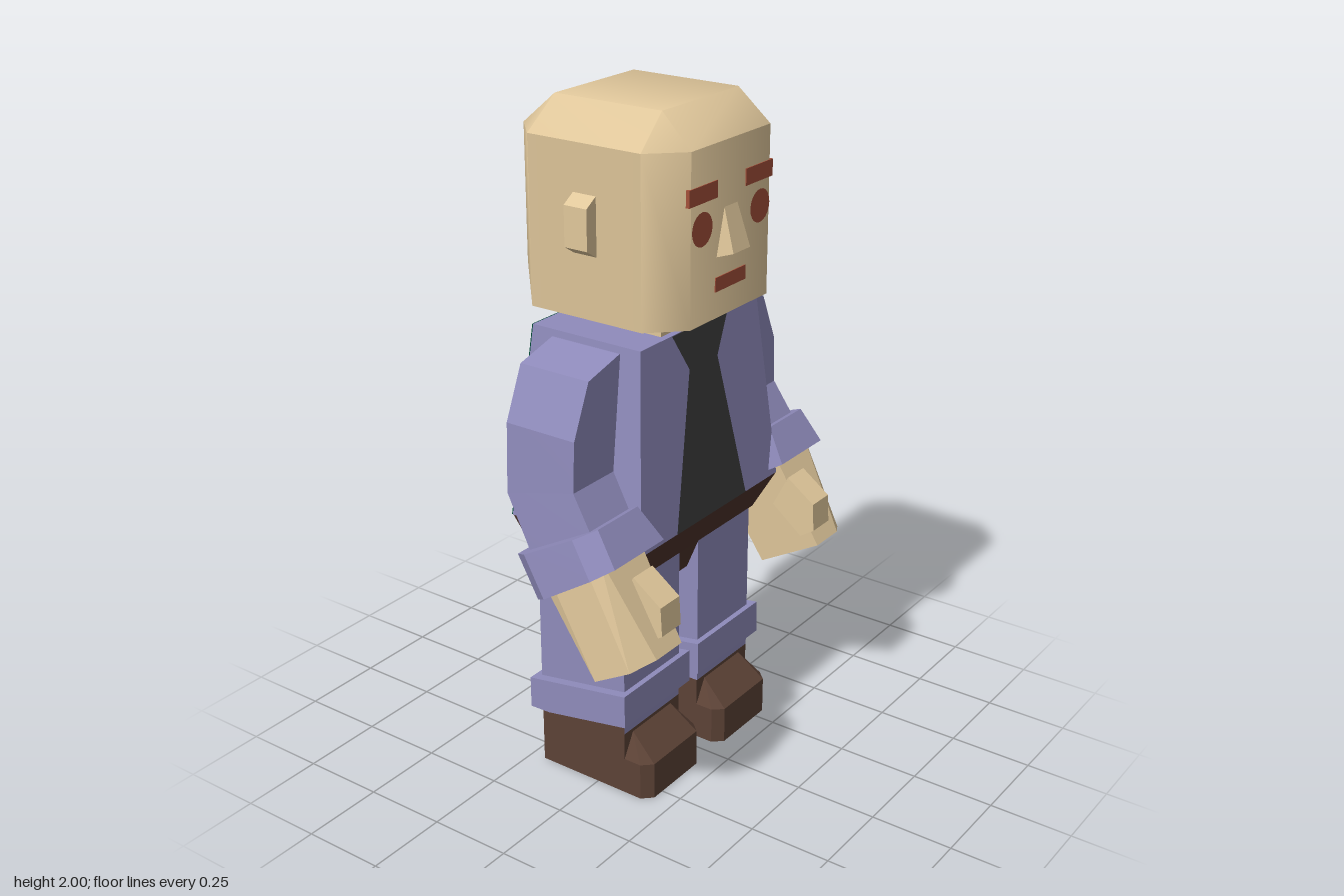
import * as THREE from 'three';
import { ConvexGeometry } from 'three/addons/geometries/ConvexGeometry.js';
import { toCreasedNormals } from 'three/addons/utils/BufferGeometryUtils.js';

const mat = (color) => new THREE.MeshStandardMaterial({ color, side: THREE.DoubleSide });

export function createModel() {
  const model = new THREE.Group();
  const skin = mat(0xe0c79b), cloth = mat(0x8f8bbb), shirtMat = mat(0x3c3c3c);
  const beltMat = mat(0x4c322a), shoeMat = mat(0x5c4236), green = mat(0x0b7d60), red = mat(0xa4503a);

  const add = (name, geometry, material) => {
    const mesh = new THREE.Mesh(geometry, material);
    mesh.name = name;
    model.add(mesh);
    return mesh;
  };
  // Faceted solid around a few corner points; s = -1 mirrors it
  const solid = (name, points, material, s = 1, crease = 0.1) => add(name, toCreasedNormals(
    new ConvexGeometry(points.map(([x, y, z]) => new THREE.Vector3(x * s, y, z))), crease), material);
  const block = (name, x0, x1, y0, y1, z0, z1, material) => {
    const g = new THREE.BoxGeometry(x1 - x0, y1 - y0, z1 - z0);
    g.translate((x0 + x1) / 2, (y0 + y1) / 2, (z0 + z1) / 2);
    return add(name, g, material);
  };
  // Side profile in [y, z] swept between two x values
  const sweep = (x0, x1, profile) => profile.flatMap(([y, z]) => [[x0, y, z], [x1, y, z]]);
  // Rectangle at height y
  const rect = (y, x, z0, z1) => [[-x, y, z0], [x, y, z0], [x, y, z1], [-x, y, z1]];
  // Flat panel laid on a sloping plane
  const panel = (name, outline, zAt, material) => {
    const g = new THREE.ShapeGeometry(new THREE.Shape(outline.map((p) => new THREE.Vector2(...p))));
    const pos = g.attributes.position;
    for (let i = 0; i < pos.count; i++) pos.setZ(i, zAt(pos.getY(i)));
    if (zAt(1) < 0) g.setIndex([...g.index.array].reverse());
    g.computeVertexNormals();
    return add(name, g, material);
  };

  // Head: rounded block, bevelled crown, slanted nape
  const head = [...rect(2, 0.175, -0.22, 0.13)];
  for (const x of [-1, 1]) {
    for (const y of [1.43, 1.91]) head.push([x * 0.185, y, 0.228], [x * 0.275, y, 0.135], [x * 0.275, y, -0.235]);
    head.push([x * 0.185, 1.91, -0.322], [x * 0.185, 1.52, -0.322]);
  }
  solid('head', head, skin, 1, 0.81);
  block('neck', -0.16, 0.16, 1.36, 1.45, -0.21, 0.115, skin);
  solid('nose', [
    [-0.03, 1.74, 0.225], [0.03, 1.74, 0.225], [-0.067, 1.6, 0.225], [0.067, 1.6, 0.225],
    [-0.04, 1.61, 0.265], [0.04, 1.61, 0.265],
  ], skin);
  block('mouth', -0.072, 0.072, 1.505, 1.545, 0.22, 0.231, red);
  for (const s of [-1, 1]) {
    const eye = add('eye', new THREE.CircleGeometry(0.047, 20), red);
    eye.position.set(s * 0.137, 1.695, 0.231);
    block('eyebrow', s * 0.132 - 0.065, s * 0.132 + 0.065, 1.765, 1.812, 0.22, 0.231, red);
    solid('ear', [-0.085, -0.01].flatMap((z) => [
      [0.26, 1.785, z], [0.275, 1.775, z], [0.315, 1.75, z], [0.315, 1.635, z], [0.275, 1.61, z], [0.26, 1.605, z],
    ]), skin, s);
  }

  // Jacket body with open front and coloured back
  solid('jacket', [...rect(1.38, 0.28, -0.23, 0.135), ...rect(0.81, 0.342, -0.275, 0.18)], cloth);
  panel('shirt', [[-0.14, 1.38], [-0.07, 1.265], [-0.175, 0.812], [0.17, 0.812], [0.066, 1.265], [0.127, 1.38]],
    (y) => 0.138 + (1.38 - y) * 0.079, shirtMat);
  panel('jacketBack', [[-0.28, 1.38], [-0.342, 0.81], [0.342, 0.81], [0.28, 1.38]],
    (y) => -0.233 - (1.38 - y) * 0.079, green);

  // Hips and crotch
  solid('hips', [...rect(0.81, 0.34, -0.275, 0.18), ...rect(0.69, 0.315, -0.215, 0.115)], beltMat);
  solid('crotch', sweep(-0.05, 0.05, [[0.7, -0.218], [0.58, -0.16], [0.58, 0.06], [0.7, 0.11]]), beltMat);

  // Slanted arm section: front and back as [y, z], outer corners cut by c
  const ring = (front, back, xIn, xOut, c) => [
    [0, xIn], [0, xOut - c], [0.2, xOut], [0.8, xOut], [1, xOut - c], [1, xIn],
  ].map(([t, x]) => [x, front[0] + (back[0] - front[0]) * t, front[1] + (back[1] - front[1]) * t]);

  for (const s of [-1, 1]) {
    // Sleeve: rounded shoulder, then bent forward at the elbow
    const shoulder = [[0.2, 1.36], [0.285, 1.36], [0.42, 1.325], [0.485, 1.175]];
    const elbow = [0.25, 0.493].flatMap((x) => [[x, 1.03, 0.07], [x, 0.97, -0.16]]);
    solid('upperSleeve', [...shoulder.flatMap(([x, y]) => [[x, y, 0.07], [x, y, -0.16]]), ...elbow], cloth, s);
    solid('lowerSleeve', [...elbow, ...sweep(0.31, 0.505, [[0.88, 0.165], [0.76, -0.045]])], cloth, s);
    solid('sleeveCuff', [
      ...ring([0.955, 0.16], [0.8, -0.12], 0.33, 0.545, 0.04),
      ...ring([0.862, 0.226], [0.69, -0.04], 0.3, 0.56, 0.04),
    ], cloth, s);

    // Hand and thumb
    solid('hand', [
      ...ring([0.88, 0.165], [0.76, -0.04], 0.34, 0.525, 0.015),
      ...ring([0.6, 0.325], [0.49, 0.13], 0.355, 0.54, 0.07),
    ], skin, s);
    solid('thumb', sweep(0.345, 0.432, [[0.8, 0.22], [0.735, 0.31], [0.65, 0.315], [0.62, 0.27], [0.7, 0.17]]), skin, s);

    // Trouser leg, turned-up cuff and boot
    const [xa, xb] = s > 0 ? [0.048, 0.318] : [-0.318, -0.048];
    block('leg', xa, xb, 0.2, 0.75, -0.205, 0.1, cloth);
    solid('trouserCuff', sweep(0.022, 0.345, [
      [0.345, 0.12], [0.292, -0.16], [0.288, -0.227], [0.19, -0.227], [0.192, -0.16], [0.243, 0.122],
    ]), cloth, s);
    block('boot', xa, xb, 0, 0.28, -0.204, 0.099, shoeMat);
    solid('bootToe', [
      ...sweep(0.048, 0.318, [[0, 0.09], [0.115, 0.09], [0, 0.155], [0.115, 0.155]]),
      ...sweep(0.075, 0.29, [[0, 0.185], [0.115, 0.185]]),
      ...sweep(0.09, 0.276, [[0.19, 0.09], [0.19, 0.097]]),
    ], shoeMat, s);
  }
  return model;
}
